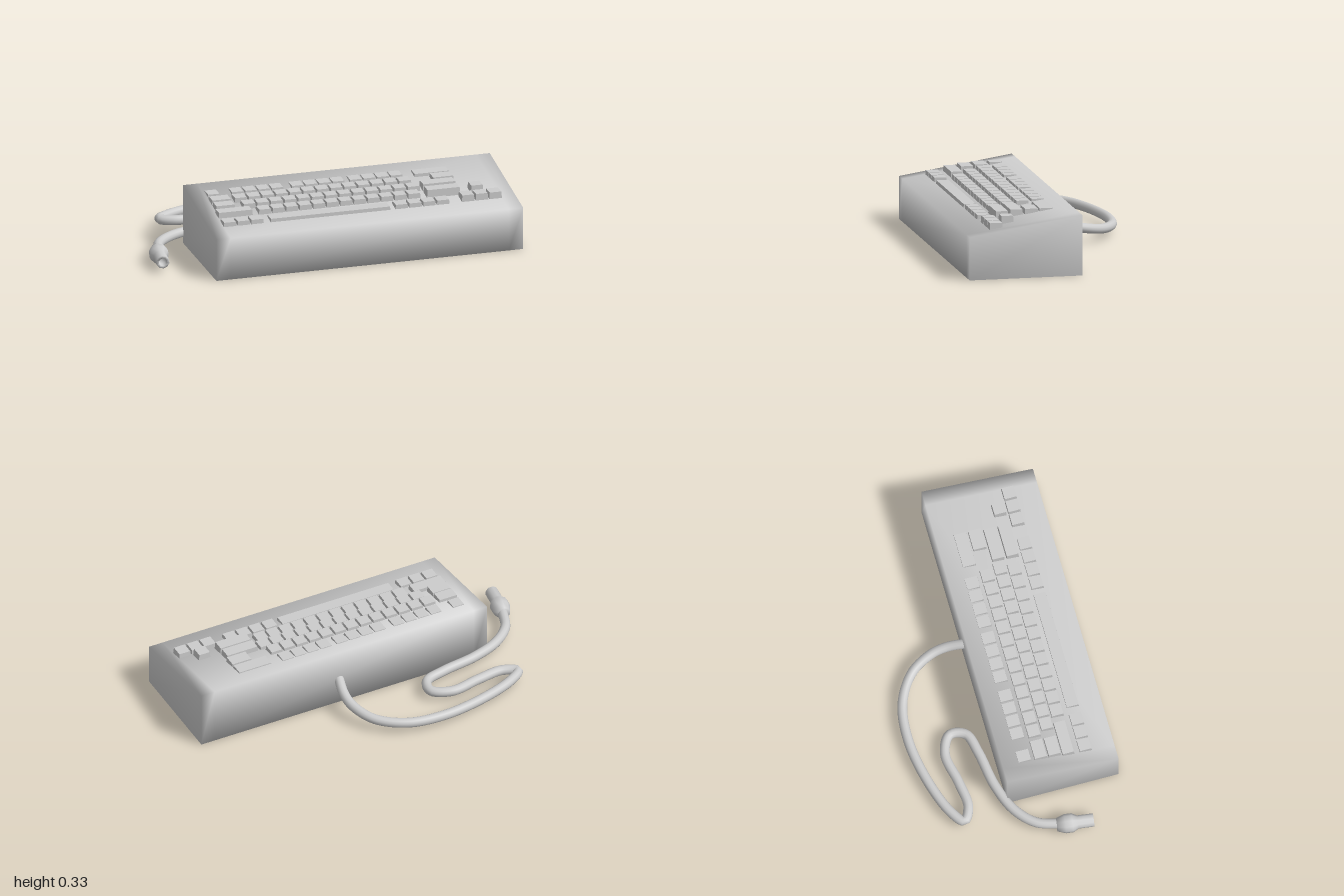
import * as THREE from 'three';
import { mergeVertices } from 'three/addons/utils/BufferGeometryUtils.js';

const material = new THREE.MeshStandardMaterial({ color: 0xcccccc });
const Z_BACK = -0.09, Z_FRONT = 0.53, Y_BACK = 0.33, Y_FRONT = 0.235;
const deckY = z => Y_BACK + (Y_FRONT - Y_BACK) * (z - Z_BACK) / (Z_FRONT - Z_BACK);

// Shares corners between faces so that the shading is smooth
function soften(geometry) {
  geometry.deleteAttribute('normal');
  geometry.deleteAttribute('uv');
  const welded = mergeVertices(geometry, 1e-4);
  welded.computeVertexNormals();
  return welded;
}

function addMesh(parent, name, geometry) {
  const mesh = new THREE.Mesh(geometry, material);
  mesh.name = name;
  parent.add(mesh);
  return mesh;
}

// Wedge-shaped case: a box whose top follows the sloping deck
function caseGeometry() {
  const geometry = new THREE.BoxGeometry(1.72, 1, Z_FRONT - Z_BACK, 3, 1, 1);
  geometry.translate(0.14, 0.5, (Z_FRONT + Z_BACK) / 2);
  const p = geometry.attributes.position;
  for (let i = 0; i < p.count; i++) {
    p.setY(i, p.getY(i) * deckY(p.getZ(i)));
    const x = p.getX(i) - 0.14;
    if (Math.abs(x) < 0.8) p.setX(i, 0.14 + Math.sign(x) * 0.78); // end loops
  }
  return soften(geometry);
}

// Keycap with a slightly narrower top, sunk into the deck
function keyGeometry(x0, x1, z0, z1, top) {
  const bottom = deckY(z1) - 0.02;
  const geometry = new THREE.BoxGeometry(x1 - x0, top - bottom, z1 - z0);
  const p = geometry.attributes.position;
  for (let i = 0; i < p.count; i++) {
    if (p.getY(i) < 0) continue;
    p.setX(i, p.getX(i) - Math.sign(p.getX(i)) * 0.005);
    p.setZ(i, p.getZ(i) - Math.sign(p.getZ(i)) * 0.004);
  }
  geometry.translate((x0 + x1) / 2, (top + bottom) / 2, (z0 + z1) / 2);
  return geometry;
}

// Each run of keys: [left x, right x, number of keys, back z, front z, top y]
const KEY_RUNS = [
  // function row
  [-0.632, -0.557, 1, -0.005, 0.072, 0.32],
  [-0.498, -0.2, 4, -0.005, 0.072, 0.32],
  [-0.162, 0.143, 4, -0.005, 0.072, 0.32],
  [0.164, 0.468, 4, -0.005, 0.072, 0.32],
  [0.522, 0.725, 1, 0.007, 0.085, 0.32],
  // number row
  [-0.635, -0.52, 1, 0.085, 0.16, 0.318],
  [-0.507, 0.49, 13, 0.087, 0.16, 0.318],
  [0.602, 0.725, 1, 0.087, 0.165, 0.32],
  // upper letter row
  [-0.635, -0.52, 1, 0.163, 0.236, 0.312],
  [-0.482, 0.516, 13, 0.165, 0.236, 0.308],
  [0.522, 0.714, 1, 0.17, 0.243, 0.317],
  // lower letter row
  [-0.643, -0.445, 1, 0.238, 0.308, 0.3],
  [-0.418, 0.495, 12, 0.24, 0.312, 0.296],
  [0.522, 0.714, 1, 0.25, 0.322, 0.311],
  // bottom row and space bar
  [-0.643, -0.413, 3, 0.333, 0.406, 0.278],
  [-0.381, 0.298, 1, 0.333, 0.406, 0.273],
  [0.319, 0.629, 4, 0.333, 0.406, 0.278],
  // cursor keys
  [0.768, 0.843, 1, 0.25, 0.322, 0.311],
  [0.693, 0.923, 3, 0.328, 0.402, 0.291],
];

// Cable centre line: x, y, z
const CABLE = [
  [0.165, 0.15, -0.07], [0.185, 0.115, -0.18], [0.175, 0.092, -0.27],
  [0.11, 0.068, -0.39], [-0.04, 0.056, -0.485], [-0.25, 0.053, -0.512],
  [-0.5, 0.053, -0.475], [-0.7, 0.053, -0.405], [-0.775, 0.053, -0.345],
  [-0.7, 0.053, -0.302], [-0.55, 0.053, -0.316], [-0.38, 0.053, -0.343],
  [-0.28, 0.053, -0.29], [-0.3, 0.053, -0.205], [-0.42, 0.055, -0.168],
  [-0.62, 0.056, -0.135], [-0.78, 0.057, -0.075], [-0.885, 0.058, 0.02],
  [-0.93, 0.06, 0.14],
];

// Plug profile, radius and distance along its axis, ending in a hollow socket
const PLUG = [
  [0, 0], [0.036, 0], [0.052, 0.045], [0.052, 0.085], [0.036, 0.115],
  [0.036, 0.2], [0.022, 0.2], [0.022, 0.16], [0, 0.16],
];

export function createModel() {
  const model = new THREE.Group();
  model.name = 'keyboard';

  addMesh(model, 'case', caseGeometry());

  const keys = new THREE.Group();
  keys.name = 'keys';
  model.add(keys);
  for (const [x0, x1, count, z0, z1, top] of KEY_RUNS) {
    const pitch = (x1 - x0) / count;
    for (let i = 0; i < count; i++) {
      const left = x0 + i * pitch;
      addMesh(keys, 'key', keyGeometry(left + 0.001, left + pitch - 0.001, z0, z1, top));
    }
  }

  const curve = new THREE.CatmullRomCurve3(CABLE.map(p => new THREE.Vector3(...p)));
  addMesh(model, 'cable', new THREE.TubeGeometry(curve, 160, 0.027, 12));

  const profile = PLUG.map(([r, d]) => new THREE.Vector2(r, d));
  const plug = addMesh(model, 'plug', new THREE.LatheGeometry(profile, 10));
  plug.material = new THREE.MeshStandardMaterial({ color: 0xcccccc, side: THREE.DoubleSide });
  plug.position.set(-0.932, 0.06, 0.126);
  plug.quaternion.setFromUnitVectors(
    new THREE.Vector3(0, 1, 0), new THREE.Vector3(-0.13, 0, 1).normalize());

  return model;
}
